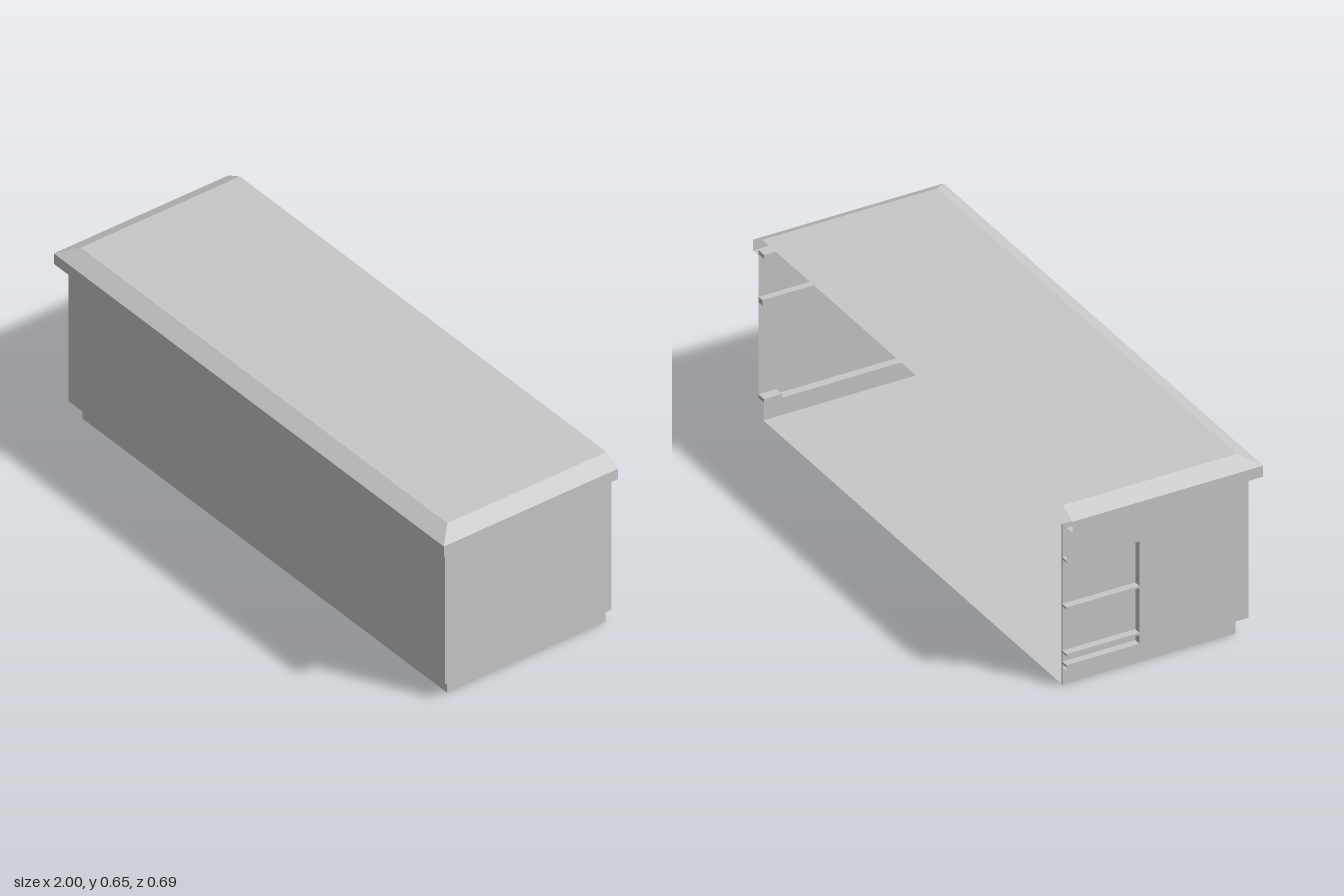
import * as THREE from 'three';

const BACK = -0.345;

// Three-sided shell (left, front, right) through sections [halfWidth, frontZ, y]; open at the back
function shell(sections, sides = [0, 1, 2]) {
  const pos = [];
  const ring = ([w, f, y]) => [[-w, y, BACK], [-w, y, f], [w, y, f], [w, y, BACK]];
  for (let i = 0; i < sections.length - 1; i++) {
    const a = ring(sections[i]), b = ring(sections[i + 1]);
    for (const s of sides) {
      pos.push(...a[s], ...a[s + 1], ...b[s + 1], ...a[s], ...b[s + 1], ...b[s]);
    }
  }
  const g = new THREE.BufferGeometry();
  g.setAttribute('position', new THREE.Float32BufferAttribute(pos, 3));
  g.computeVertexNormals();
  return g;
}

// Horizontal sheet from the back edge to frontZ
function sheet(halfWidth, front, y, up) {
  return new THREE.PlaneGeometry(2 * halfWidth, front - BACK)
    .rotateX(up ? -Math.PI / 2 : Math.PI / 2)
    .translate(0, y, (front + BACK) / 2);
}

// Box given by its limits
function block(x0, x1, y0, y1, z0, z1) {
  return new THREE.BoxGeometry(x1 - x0, y1 - y0, z1 - z0)
    .translate((x0 + x1) / 2, (y0 + y1) / 2, (z0 + z1) / 2);
}

export function createModel() {
  const group = new THREE.Group();
  const grey = new THREE.MeshStandardMaterial({ color: 0xc8c8c8, side: THREE.DoubleSide });
  grey.name = 'light grey';
  const add = (name, geometry) => {
    const mesh = new THREE.Mesh(geometry, grey);
    mesh.name = name;
    group.add(mesh);
  };

  // Recessed base with floor
  add('floor', sheet(0.935, 0.282, 0, false));
  add('base', shell([[0.935, 0.282, 0], [0.935, 0.282, 0.063], [0.965, 0.313, 0.063]]));

  // Body: front and one end, then the other end with a notch at its back edge
  add('bodyWalls', shell([[0.965, 0.313, 0.063], [0.965, 0.313, 0.585]], [1, 2]));
  const notched = new THREE.Shape([
    [BACK, 0.063], [0.313, 0.063], [0.313, 0.585], [BACK, 0.585],
    [BACK, 0.46], [-0.08, 0.46], [-0.08, 0.08], [BACK, 0.08],
  ].map(([z, y]) => new THREE.Vector2(z, y)));
  add('notchedEndWall', new THREE.ShapeGeometry(notched).rotateY(-Math.PI / 2).translate(-0.965, 0, 0));

  // Panel and thin shelves inside the notch
  add('innerEndPanel', block(-0.937, -0.933, 0.0, 0.585, BACK, 0.28));
  for (const y of [0.08, 0.12, 0.29, 0.46]) {
    add('notchShelf', block(-0.963, -0.935, y - 0.004, y + 0.004, BACK, -0.08));
  }
  add('notchSide', block(-0.964, -0.935, 0.08, 0.46, -0.081, -0.077));

  // Countertop with sloped rim and overhang
  add('countertopRim', shell([
    [0.965, 0.313, 0.585], [1, 0.345, 0.585], [1, 0.345, 0.625], [0.94, 0.285, 0.655],
  ]));
  add('countertop', sheet(0.94, 0.285, 0.655, true));

  // Interior rail, edge stubs and a small bracket below the top
  add('sideRail', block(0.94, 0.964, 0.415, 0.435, BACK, 0.13));
  for (const y of [0.065, 0.59]) {
    add('edgeStub', block(0.93, 0.964, y, y + 0.015, BACK, -0.28));
  }
  add('bracket', block(0.33, 0.46, 0.555, 0.58, -0.23, -0.19));
  add('bracketStem', block(0.375, 0.415, 0.58, 0.654, -0.225, -0.195));

  return group;
}
